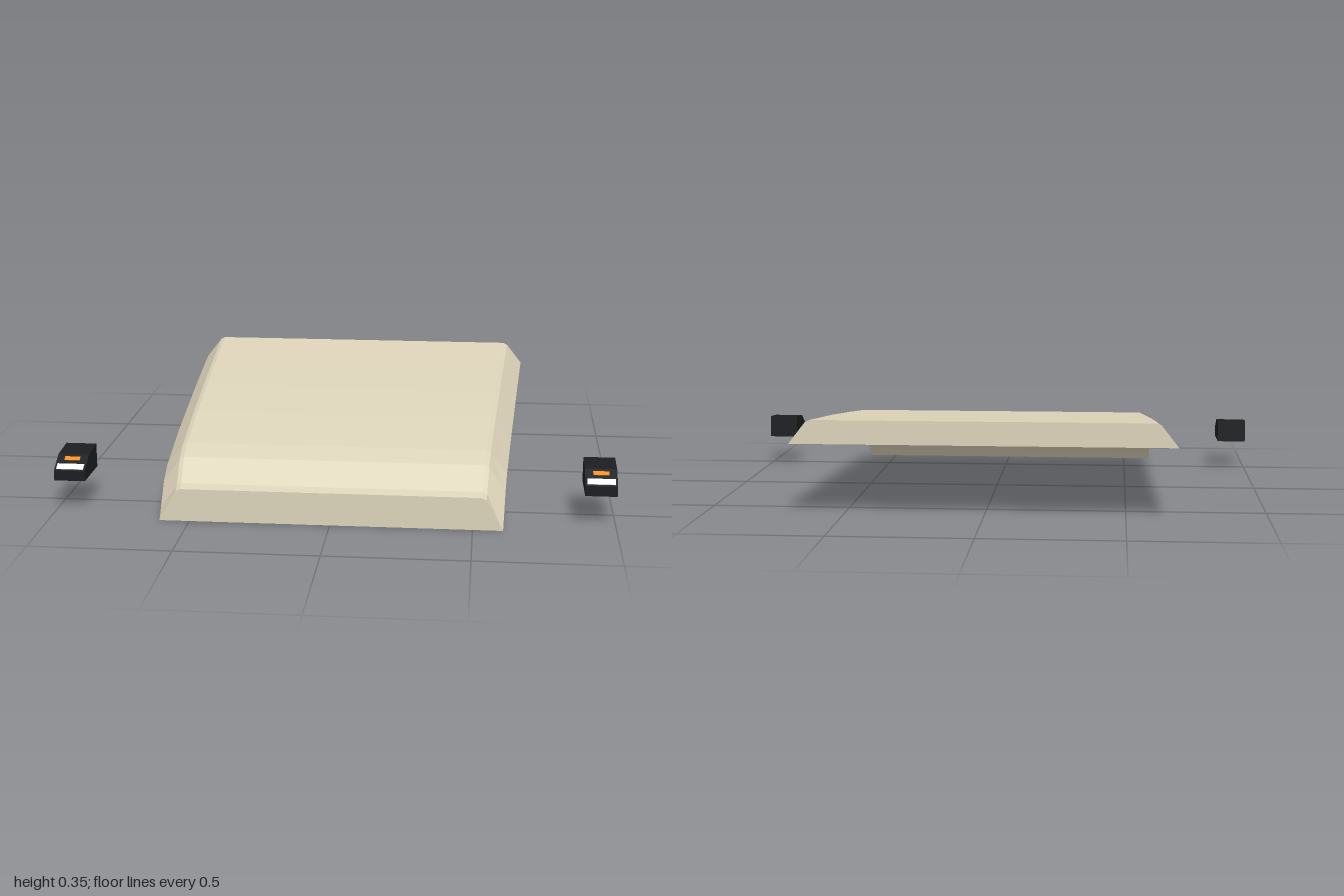
import * as THREE from 'three';

const mat = (color) => new THREE.MeshStandardMaterial({ color, flatShading: true });

// Hood stations from front to back: [z, underside y, top y]
const STATIONS = [
  [0.7, 0, 0.118], [0.66, 0.035, 0.127], [0.575, 0.106, 0.198], [0.49, 0.14, 0.226],
  [0.2, 0.183, 0.266], [-0.08, 0.211, 0.294], [-0.36, 0.237, 0.32], [-0.7, 0.262, 0.347],
];

// Closed panel: a six-point section with sloping sides and bevelled top edges
function hoodGeometry() {
  const positions = [], index = [], n = 6;
  for (const [z, low, high] of STATIONS) {
    const w = 0.643 - z * 0.052;
    const right = [[w, low], [w - 0.06, high - 0.008], [w - 0.076, high]];
    const left = right.map(([x, y]) => [-x, y]).reverse();
    for (const [x, y] of [...right, ...left]) positions.push(x, y, z);
  }
  const last = (STATIONS.length - 1) * n;
  for (let r = 0; r < last; r += n) {
    for (let k = 0; k < n; k++) {
      const a = r + k, b = r + (k + 1) % n;
      index.push(a, a + n, b + n, a, b + n, b);
    }
  }
  // Front and rear faces
  for (let k = 1; k < n - 1; k++) {
    index.push(0, k, k + 1, last, last + k + 1, last + k);
  }
  const geo = new THREE.BufferGeometry();
  geo.setAttribute('position', new THREE.Float32BufferAttribute(positions, 3));
  geo.setIndex(index);
  const flat = geo.toNonIndexed();
  flat.computeVertexNormals();
  return flat;
}

// Wedge-fronted lamp housing with two strips lying on its slope
function createLamp(x, name) {
  const lamp = new THREE.Group();
  lamp.name = name;
  const width = 0.112;
  const side = new THREE.Shape([
    [0.455, 0.115], [0.635, 0.115], [0.635, 0.152], [0.563, 0.193], [0.455, 0.202],
  ].map(([z, y]) => new THREE.Vector2(z, y)));
  const geo = new THREE.ExtrudeGeometry(side, { depth: width, bevelEnabled: false });
  geo.rotateY(-Math.PI / 2).translate(width / 2, 0, 0);
  const housing = new THREE.Mesh(geo, mat(0x1b1d20));
  housing.name = 'lampHousing';
  lamp.add(housing);

  const slope = Math.atan2(0.041, 0.072);
  const addStrip = (part, color, w, length, z) => {
    const strip = new THREE.Mesh(new THREE.BoxGeometry(w, 0.004, length), mat(color));
    strip.name = part;
    strip.position.set(0, 0.152 + (0.635 - z) * Math.tan(slope), z);
    strip.rotation.x = slope;
    lamp.add(strip);
  };
  addStrip('lightStrip', 0xf4f6f8, 0.098, 0.027, 0.617);
  addStrip('turnSignal', 0xff8c1a, 0.056, 0.018, 0.582);

  lamp.position.x = x;
  return lamp;
}

export function createModel() {
  const model = new THREE.Group();
  model.name = 'hoodAndHeadlights';
  const hood = new THREE.Mesh(hoodGeometry(), mat(0xdcd3b9));
  hood.name = 'hood';
  model.add(hood);
  model.add(createLamp(0.944, 'leftHeadlight'), createLamp(-0.944, 'rightHeadlight'));
  return model;
}
